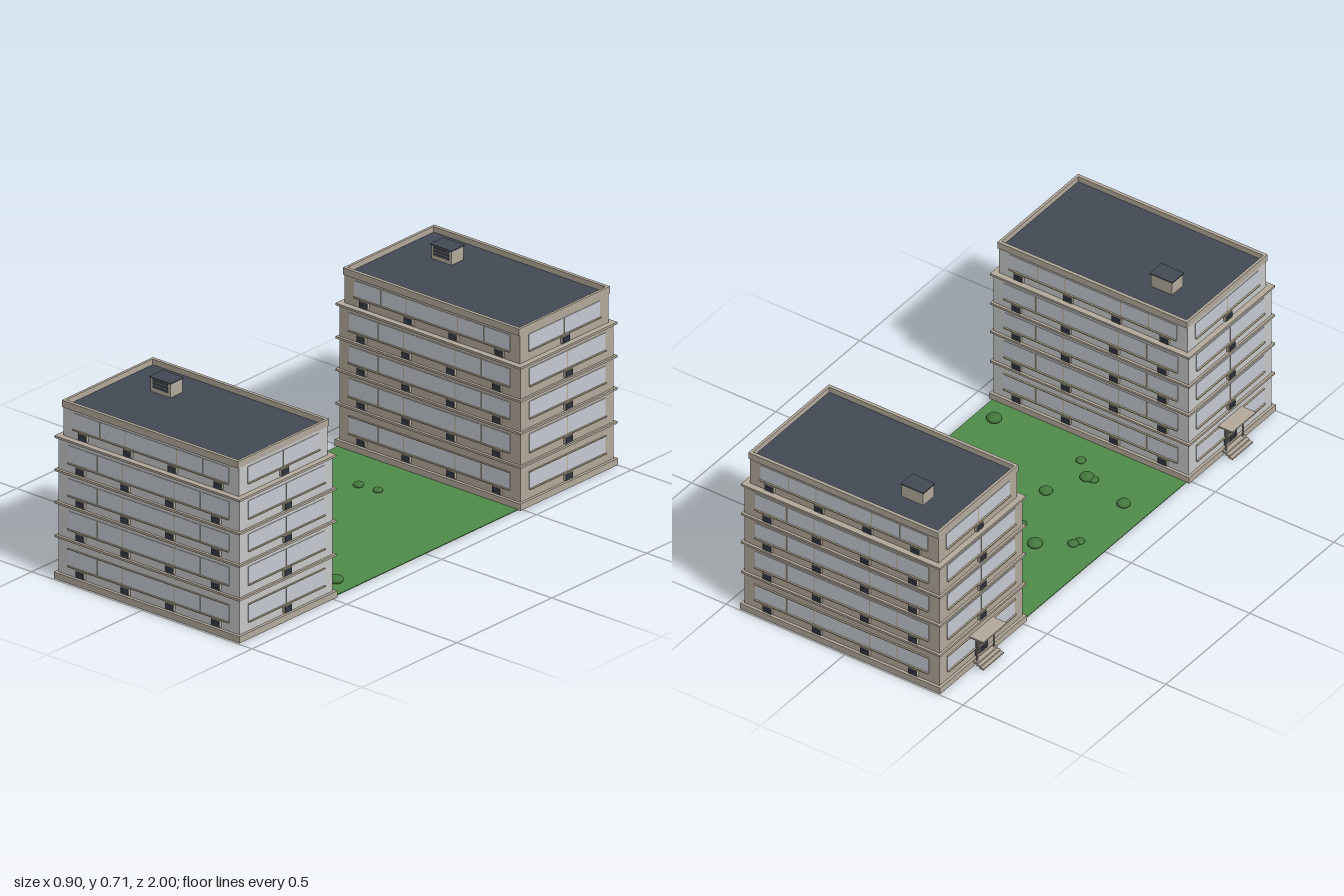
import * as THREE from 'three';

const mat = (name, color) => Object.assign(new THREE.MeshStandardMaterial({ color }), { name });

export function createModel() {
  const tan = mat('stone', 0xb3a99b);
  const pale = mat('paleWall', 0xc6c7c8);
  const glass = mat('windowPanel', 0xc5cad1);
  const trim = mat('trim', 0xb9ac92);
  const dark = mat('slate', 0x424a55);
  const grass = mat('grass', 0x4f8a49);
  const leaf = mat('leaf', 0x43783d);

  const model = new THREE.Group();
  model.name = 'courtyardBlocks';

  // Box helper: y is the underside
  const box = (parent, name, m, w, h, d, x, y, z) => {
    const mesh = new THREE.Mesh(new THREE.BoxGeometry(w, h, d), m);
    mesh.name = name;
    mesh.position.set(x, y + h / 2, z);
    parent.add(mesh);
    return mesh;
  };

  // One wall of one storey, facing +z before it is turned
  const facade = (parent, turn, length, dist, base, top, ground, ventXs, mullionXs) => {
    const side = new THREE.Group();
    side.name = 'facade';
    side.rotation.y = turn;
    parent.add(side);
    const panelW = length - 0.09, sill = base + 0.036;
    const panelTop = ground ? 0.127 : top - 0.012;
    box(side, 'windowPanel', glass, panelW, panelTop - sill, 0.004, 0, sill, dist);
    box(side, 'sill', trim, panelW, 0.004, 0.012, 0, sill - 0.003, dist + 0.002);
    if (ground) box(side, 'lintel', trim, panelW, 0.003, 0.008, 0, panelTop, dist + 0.002);
    for (const x of mullionXs)
      box(side, 'mullion', trim, 0.004, panelTop - sill, 0.006, x, sill, dist);
    for (const x of ventXs) {
      box(side, 'ventHousing', tan, 0.038, 0.026, 0.01, x, base + 0.006, dist + 0.005);
      box(side, 'ventGrille', dark, 0.034, 0.021, 0.003, x, base + 0.0085, dist + 0.0105);
      for (let i = 0; i < 2; i++)
        box(side, 'ventSlat', dark, 0.034, 0.002, 0.002, x, base + 0.014 + i * 0.008, dist + 0.0125);
    }
  };

  const ventXs = [-0.305, -0.102, 0.102, 0.31];
  const mullionXs = [-0.234, -0.117, 0.117, 0.234];
  const levels = [0.028, 0.167, 0.294, 0.416, 0.541];
  const tops = [0.155, 0.282, 0.404, 0.529, 0.65];

  const building = (name, z, wallMat) => {
    const b = new THREE.Group();
    b.name = name;
    b.position.set(0.02, 0, z);
    model.add(b);
    box(b, 'plinth', tan, 0.844, 0.025, 0.515, 0, 0.003, 0);

    // Storeys with a projecting cornice between each
    levels.forEach((base, i) => {
      const last = i === 4;
      const w = last ? 0.796 : 0.822, d = last ? 0.466 : 0.492, top = tops[i];
      box(b, 'storey', wallMat, w, top - base, d, 0, base, 0);
      for (const s of [0, 1]) {
        facade(b, s * Math.PI, w, d / 2, base, top, i === 0,
          ventXs.map(x => (s ? -x : x)), mullionXs);
        facade(b, Math.PI / 2 + s * Math.PI, d + 0.0, w / 2, base, top, i === 0, [0], [0]);
      }
      if (!last) {
        box(b, 'corniceLower', trim, 0.828, 0.004, 0.498, 0, top, 0);
        box(b, 'cornice', tan, 0.84, 0.008, 0.512, 0, top + 0.004, 0);
      }
    });

    // Roof and parapet ring
    const ring = new THREE.Shape([[-0.4, -0.24], [0.4, -0.24], [0.4, 0.24], [-0.4, 0.24]]
      .map(p => new THREE.Vector2(...p)));
    ring.holes.push(new THREE.Path([[-0.39, -0.227], [-0.39, 0.227], [0.39, 0.227], [0.39, -0.227]]
      .map(p => new THREE.Vector2(...p))));
    const parapet = new THREE.Mesh(
      new THREE.ExtrudeGeometry(ring, { depth: 0.026, bevelEnabled: false }), tan);
    parapet.name = 'parapet';
    parapet.rotation.x = -Math.PI / 2;
    parapet.position.y = 0.649;
    b.add(parapet);
    box(b, 'roof', dark, 0.785, 0.006, 0.458, 0, 0.648, 0);

    // Louvred roof unit
    box(b, 'roofUnit', tan, 0.09, 0.052, 0.064, -0.205, 0.653, -0.085);
    box(b, 'roofUnitCap', dark, 0.096, 0.005, 0.07, -0.205, 0.705, -0.085);
    for (let i = 0; i < 3; i++)
      box(b, 'louvre', dark, 0.07, 0.008, 0.003, -0.205, 0.67 + i * 0.012, -0.052);

    // Entrance porch
    const porch = new THREE.Group();
    porch.name = 'porch';
    b.add(porch);
    box(porch, 'door', dark, 0.006, 0.092, 0.07, -0.413, 0.028, 0);
    box(porch, 'canopy', tan, 0.066, 0.006, 0.14, -0.438, 0.126, 0);
    for (const s of [-1, 1]) box(porch, 'post', tan, 0.005, 0.106, 0.005, -0.43, 0.02, s * 0.05);
    for (let i = 0; i < 3; i++)
      box(porch, 'step', tan, 0.018, 0.006, 0.12, -0.456 + i * 0.013, 0.003 + i * 0.007, 0);
  };

  building('frontBuilding', 0.7405, pale);
  building('backBuilding', -0.7405, tan);

  // Lawn with low round shrubs
  box(model, 'lawn', grass, 0.82, 0.003, 0.97, 0.02, 0.002, 0);
  const shrubs = [
    [-0.115, -0.275, 0.02], [-0.035, -0.285, 0.018], [-0.175, -0.115, 0.028],
    [-0.28, -0.035, 0.02], [-0.29, -0.01, 0.018], [-0.07, -0.045, 0.018],
    [-0.03, 0.155, 0.024], [-0.29, 0.25, 0.025], [-0.125, 0.305, 0.018],
    [-0.1, 0.3, 0.026], [-0.025, 0.37, 0.018], [0.355, 0.39, 0.028],
  ];
  const ball = new THREE.SphereGeometry(1, 16, 10);
  for (const [x, z, r] of shrubs) {
    const shrub = new THREE.Mesh(ball, leaf);
    shrub.name = 'shrub';
    shrub.scale.set(r, r * 0.55, r);
    shrub.position.set(x, r * 0.55, z);
    model.add(shrub);
  }
  return model;
}
